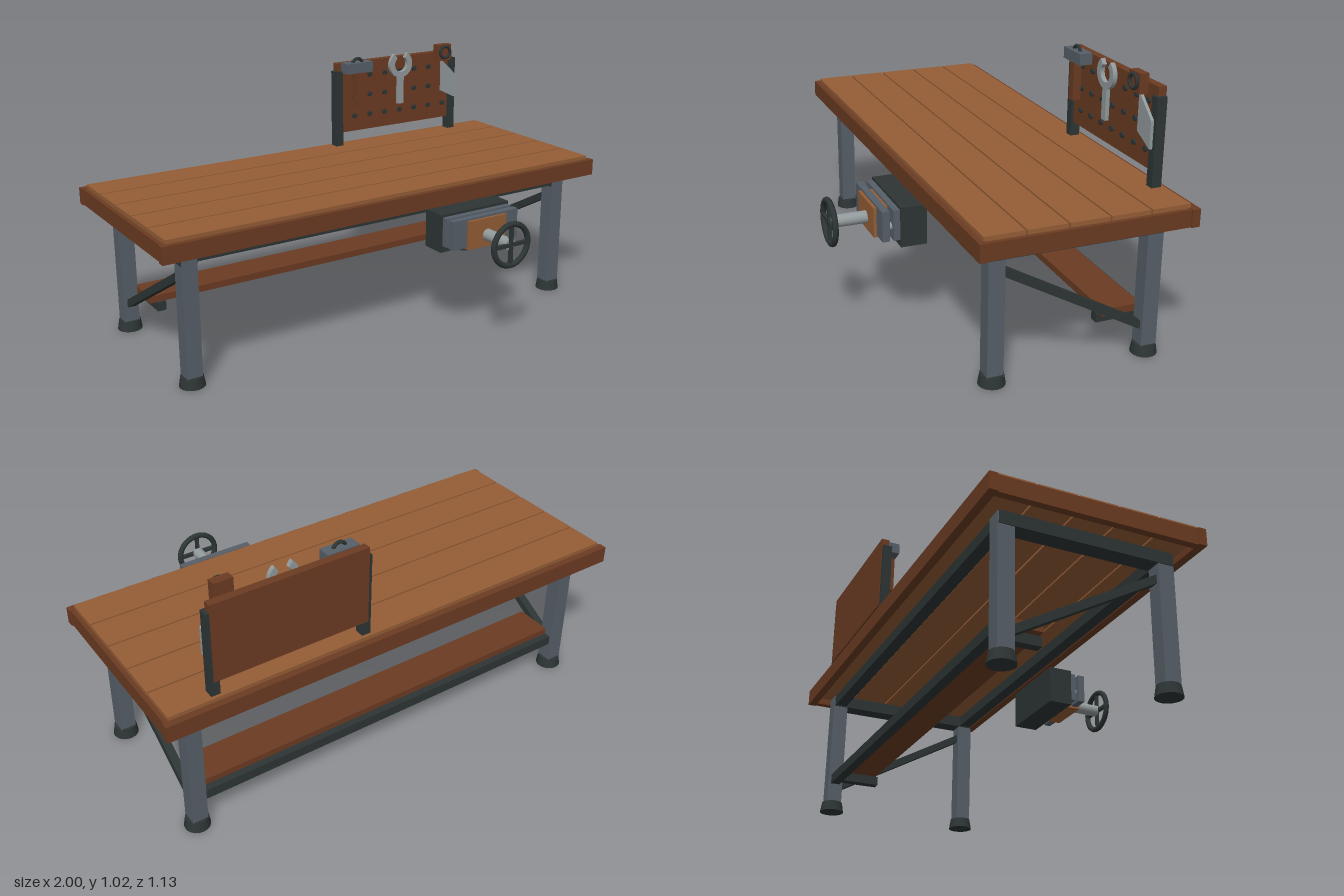
import * as THREE from 'three';

const mat = (name, color) => {
  const m = new THREE.MeshStandardMaterial({ color });
  m.name = name;
  return m;
};

export function createModel() {
  const root = new THREE.Group();
  root.name = 'workbench';
  const wood = mat('plank wood', 0x945d36);
  const darkWood = mat('dark wood', 0x6b3b22);
  const steel = mat('grey steel', 0x565f68);
  const iron = mat('black iron', 0x2d3534);
  const bright = mat('bright metal', 0x929a9c);

  const add = (name, geo, material, x = 0, y = 0, z = 0, parent = root) => {
    const m = new THREE.Mesh(geo, material);
    m.name = name;
    m.position.set(x, y, z);
    parent.add(m);
    return m;
  };
  // Box given by its minimum and maximum on each axis
  const box = (name, material, x0, x1, y0, y1, z0, z1, parent = root) =>
    add(name, new THREE.BoxGeometry(x1 - x0, y1 - y0, z1 - z0), material,
      (x0 + x1) / 2, (y0 + y1) / 2, (z0 + z1) / 2, parent);
  const extrude = (shape, depth) =>
    new THREE.ExtrudeGeometry(shape, { depth, bevelEnabled: false, curveSegments: 16 });

  // Table top: five planks with open gaps, inside a lower rim
  for (let i = 0; i < 5; i++) {
    const z = 0.161 - i * 0.156;
    box('plank', wood, -0.978, 0.978, 0.56, 0.615, z - 0.0745, z + 0.0745);
  }
  box('frontApron', darkWood, -1, 1, 0.533, 0.6, 0.225, 0.257);
  box('backApron', darkWood, -1, 1, 0.533, 0.6, -0.565, -0.533);
  for (const s of [-1, 1]) {
    const a = 0.965 * s, b = 0.994 * s;
    box('sideApron', darkWood, Math.min(a, b), Math.max(a, b), 0.533, 0.598, -0.533, 0.225);
  }

  // Legs, feet, end rails and diagonal braces
  for (const s of [-1, 1]) {
    const x = 0.869 * s;
    for (const z of [0.15, -0.458]) {
      box('leg', steel, x - 0.031, x + 0.031, 0.03, 0.53, z - 0.031, z + 0.031);
      add('foot', new THREE.CylinderGeometry(0.043, 0.05, 0.042, 20), iron, x, 0.021, z);
    }
    box('endRail', iron, x - 0.034, x + 0.034, 0.484, 0.533, -0.485, 0.179);
    const from = new THREE.Vector2(0.135, 0.438), to = new THREE.Vector2(-0.45, 0.108);
    const brace = add('brace', new THREE.BoxGeometry(0.032, 0.03, from.distanceTo(to)), iron,
      x, (from.y + to.y) / 2, (from.x + to.x) / 2);
    brace.rotation.x = -Math.atan2(from.y - to.y, from.x - to.x);
    const bx = 0.793 * s;
    box('shelfBracket', iron, bx - 0.018, bx + 0.018, 0.12, 0.157, -0.475, -0.287);
  }
  for (const z of [0.15, -0.458]) box('longRail', iron, -0.84, 0.84, 0.488, 0.533, z - 0.024, z + 0.024);

  // Lower shelf on its rail
  box('shelf', darkWood, -0.84, 0.84, 0.157, 0.185, -0.45, -0.297);
  box('shelfRail', iron, -0.84, 0.84, 0.12, 0.16, -0.478, -0.44);

  // Vise: body, two jaw plates, wooden pad, screw and handwheel
  const vise = new THREE.Group();
  vise.name = 'vise';
  root.add(vise);
  const vx = 0.293, vy = 0.441;
  box('viseBody', iron, 0.125, 0.461, 0.373, 0.528, 0.235, 0.335, vise);
  box('rearJaw', steel, 0.133, 0.453, 0.4, 0.518, 0.335, 0.36, vise);
  box('frontJaw', steel, 0.133, 0.453, 0.4, 0.518, 0.375, 0.403, vise);
  box('jawPad', wood, 0.2, 0.386, 0.393, 0.51, 0.36, 0.415, vise);
  for (const s of [-1, 1]) {
    const rod = add('guideRod', new THREE.CylinderGeometry(0.014, 0.014, 0.06, 16), bright,
      vx + s * 0.13, 0.447, 0.36, vise);
    rod.rotation.x = Math.PI / 2;
  }
  const screw = add('screw', new THREE.CylinderGeometry(0.024, 0.024, 0.145, 24), bright, vx, vy, 0.48, vise);
  screw.rotation.x = Math.PI / 2;
  const wheel = new THREE.Group();
  wheel.name = 'handwheel';
  wheel.position.set(vx, vy, 0.556);
  vise.add(wheel);
  add('wheelRim', new THREE.TorusGeometry(0.083, 0.0115, 10, 36), iron, 0, 0, 0, wheel);
  box('spoke', iron, -0.08, 0.08, -0.007, 0.007, -0.007, 0.007, wheel);
  box('spoke', iron, -0.007, 0.007, -0.08, 0.08, -0.0065, 0.0065, wheel);

  // Tool board with posts and rows of pegs
  const board = new THREE.Group();
  board.name = 'toolBoard';
  root.add(board);
  box('panel', darkWood, 0.167, 0.795, 0.672, 0.984, -0.527, -0.495, board);
  for (const x of [0.172, 0.79]) box('post', iron, x - 0.018, x + 0.018, 0.59, 0.95, -0.524, -0.485, board);
  const peg = new THREE.CylinderGeometry(0.011, 0.011, 0.012, 12).rotateX(Math.PI / 2);
  for (let r = 0; r < 3; r++) {
    for (let c = 0; c < 7; c++) add('peg', peg, iron, 0.254 + c * 0.081, 0.741 + r * 0.09, -0.492, board);
  }

  // Hammer hanging from a hook
  const hammer = new THREE.Group();
  hammer.name = 'hammer';
  root.add(hammer);
  box('hammerHead', steel, 0.187, 0.32, 0.943, 0.988, -0.495, -0.442, hammer);
  box('hammerHandle', darkWood, 0.236, 0.27, 0.79, 0.945, -0.478, -0.444, hammer);
  add('hook', new THREE.TorusGeometry(0.026, 0.007, 8, 20, Math.PI), iron, 0.253, 0.978, -0.465, hammer);

  // Open-ended wrench
  const wrench = new THREE.Group();
  wrench.name = 'wrench';
  root.add(wrench);
  const jaw = new THREE.Shape();
  const a0 = Math.PI / 2 + 0.62, a1 = Math.PI / 2 - 0.62 + Math.PI * 2;
  jaw.absarc(0, 0, 0.06, a0, a1, false);
  jaw.absarc(0, 0, 0.034, a1, a0, true);
  jaw.closePath();
  add('wrenchJaw', extrude(jaw, 0.018), bright, 0.484, 0.955, -0.477, wrench);
  box('wrenchShaft', bright, 0.469, 0.499, 0.775, 0.912, -0.476, -0.46, wrench);

  // Hand saw
  const saw = new THREE.Group();
  saw.name = 'saw';
  root.add(saw);
  const blade = new THREE.Shape([
    [0.717, 0.95], [0.717, 0.805], [0.805, 0.762], [0.805, 0.868],
  ].map(([x, y]) => new THREE.Vector2(x, y)));
  add('sawBlade', extrude(blade, 0.012), bright, 0, 0, -0.478, saw);
  box('sawHandle', darkWood, 0.677, 0.752, 0.95, 1.024, -0.48, -0.445, saw);
  add('sawGrip', new THREE.TorusGeometry(0.026, 0.007, 8, 24), iron, 0.715, 0.99, -0.44, saw);

  return root;
}
